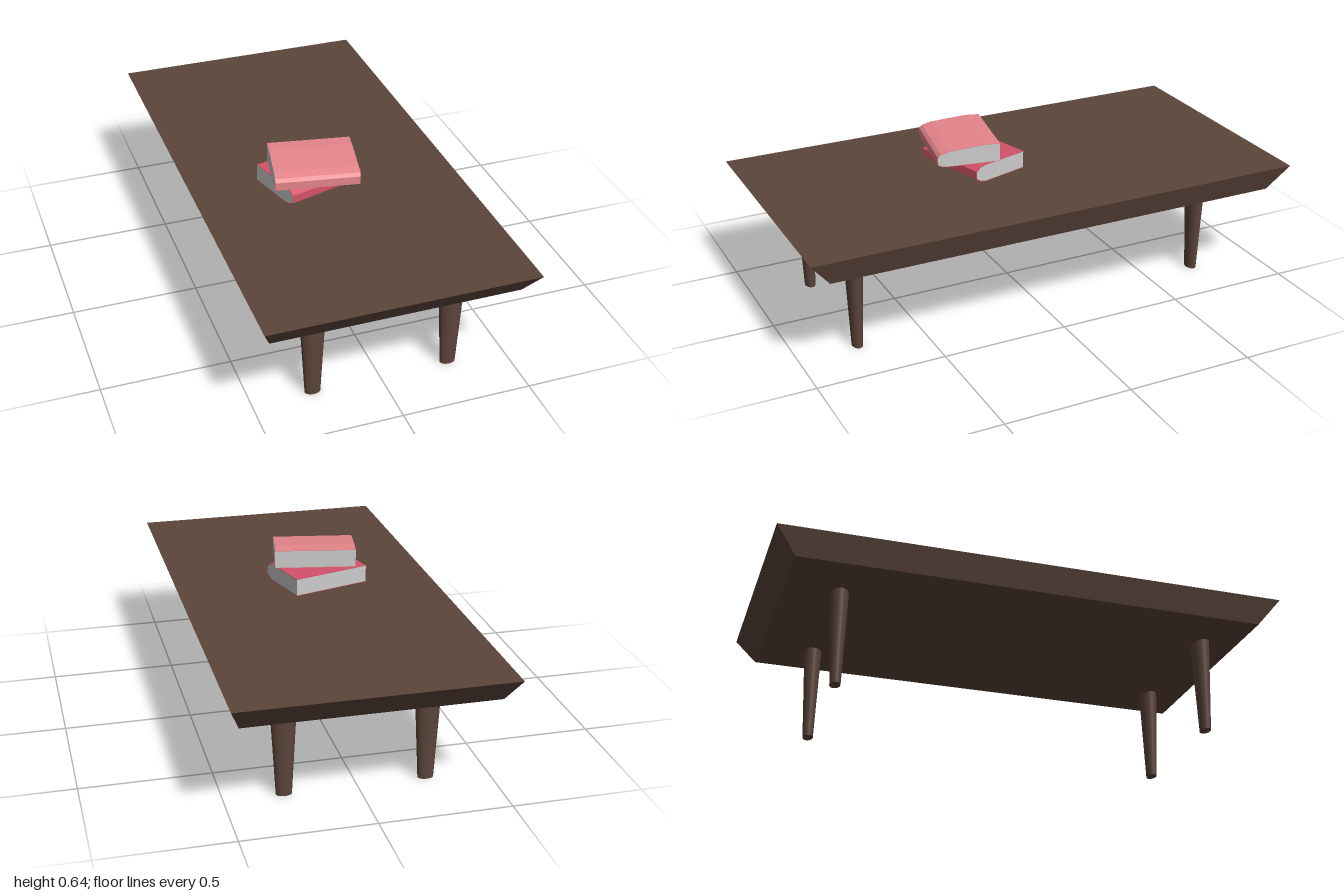
import * as THREE from 'three';

const material = (color) => new THREE.MeshStandardMaterial({ color });

function addMesh(parent, name, geometry, mat) {
  const mesh = new THREE.Mesh(geometry, mat);
  mesh.name = name;
  parent.add(mesh);
  return mesh;
}

// Slab with sides slanting inwards and a gently domed underside
function tabletopGeometry() {
  const topX = 0.515, topZ = 1, rimX = 0.475, rimZ = 0.92;
  const topY = 0.49, rimY = 0.39, bulge = 0.03;
  const geometry = new THREE.BoxGeometry(2, 2, 2, 28, 1, 28);
  const p = geometry.attributes.position;
  for (let i = 0; i < p.count; i++) {
    const u = p.getX(i), v = p.getZ(i);
    if (p.getY(i) > 0) p.setXYZ(i, u * topX, topY, v * topZ);
    else p.setXYZ(i, u * rimX, rimY - bulge * (1 - u ** 4) * (1 - v ** 4), v * rimZ);
  }
  geometry.computeVertexNormals();
  return geometry;
}

// Extrudes a (depth, height) section along x, with depth running towards +z
function extrudeSection(points, length) {
  const shape = new THREE.Shape(points.map(([d, y]) => new THREE.Vector2(d, y)));
  const geometry = new THREE.ExtrudeGeometry(shape, { depth: length, bevelEnabled: false });
  return geometry.rotateY(-Math.PI / 2).translate(length / 2, 0, 0);
}

// Book: grey page block inside a thin cover wrapped round the front spine
function makeBook(name, length, outline, color) {
  const book = new THREE.Group();
  book.name = name;
  const t = 0.002;
  const middle = (outline[0][1] + outline[outline.length - 1][1]) / 2;
  const inner = outline.map(([d, y]) => [d > 0 ? d - t : 0, y + (y < middle ? t : -t)]);
  addMesh(book, 'cover', extrudeSection([...outline, ...inner.slice().reverse()], length), material(color));
  addMesh(book, 'pages', extrudeSection(inner, length), material(0xcccccc));
  return book;
}

export function createModel() {
  const model = new THREE.Group();
  model.name = 'coffeeTable';
  const wood = material(0x5c453b);

  addMesh(model, 'tabletop', tabletopGeometry(), wood);

  // Tapered legs, oval in plan
  const legGeometry = new THREE.CylinderGeometry(0.051, 0.03, 0.38, 32).scale(1, 1, 0.67);
  for (const x of [-0.264, 0.275]) {
    for (const z of [-0.714, 0.762]) {
      addMesh(model, 'leg', legGeometry, wood).position.set(x, 0.19, z);
    }
  }

  // Two stacked books, each turned a different way
  const lower = makeBook('lowerBook', 0.32, [
    [0, 0], [0.2, 0], [0.225, 0.006], [0.245, 0.02],
    [0.245, 0.052], [0.225, 0.065], [0.2, 0.07], [0, 0.07],
  ], 0xd4526a);
  lower.position.set(-0.09, 0.491, 0.005);
  lower.rotation.y = 0.285;

  const upper = makeBook('upperBook', 0.323, [
    [0, 0.002], [0.2, 0], [0.23, 0.003], [0.247, 0.01],
    [0.247, 0.042], [0.235, 0.054], [0.2, 0.064], [0.06, 0.077], [0, 0.075],
  ], 0xe5858b);
  upper.position.set(-0.037, 0.564, 0.061);
  upper.rotation.y = -0.18;

  model.add(lower, upper);
  return model;
}
